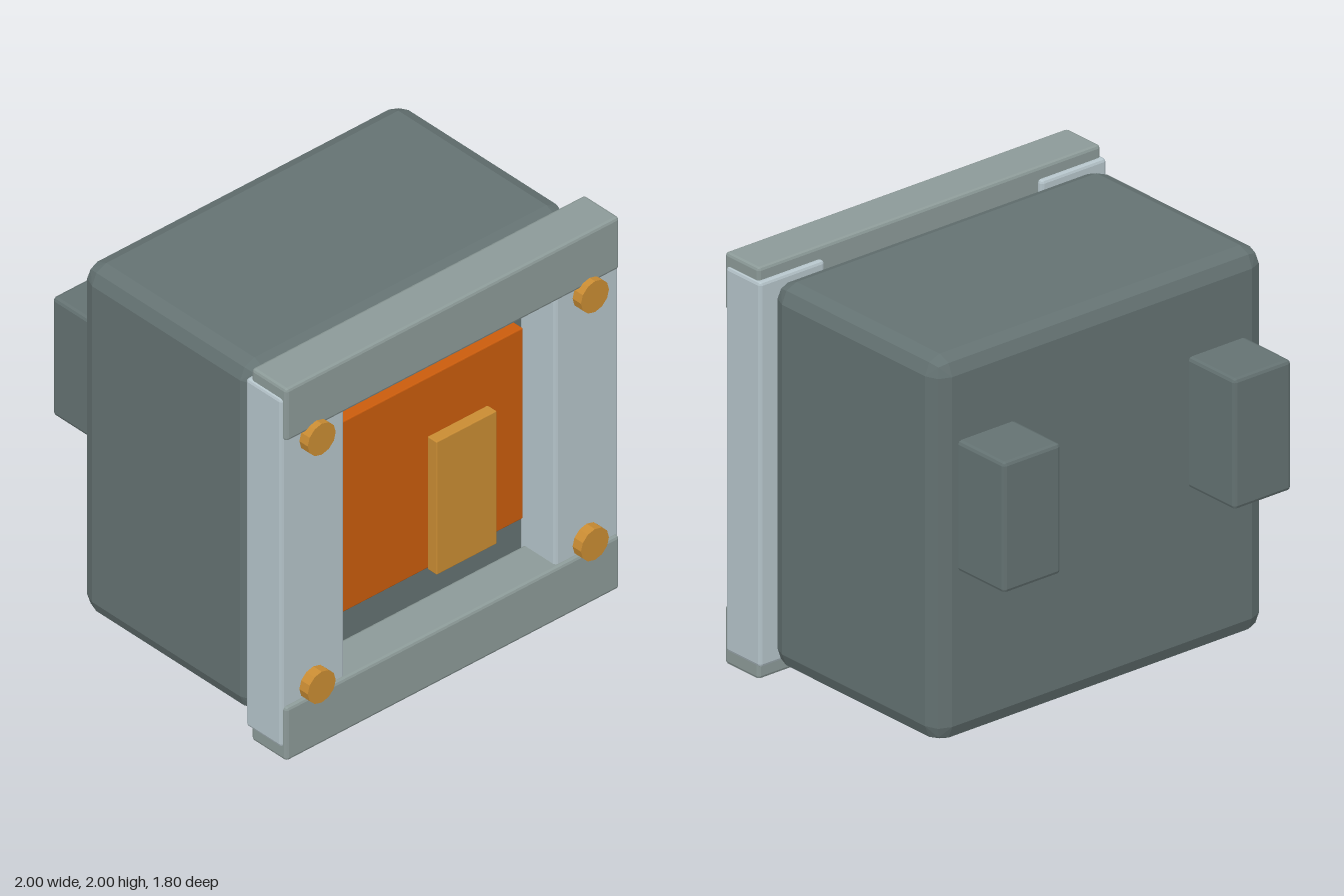
import * as THREE from 'three';
import { ConvexGeometry } from 'three/addons/geometries/ConvexGeometry.js';

const flat = (name, color) => {
  const m = new THREE.MeshStandardMaterial({ color });
  m.name = name;
  return m;
};

// Box with two-step bevelled edges, given by its minimum and maximum corners
function bevelBox(min, max, r) {
  const size = max.map((v, i) => v - min[i]);
  const steps = [[1, 0, 0], [0, 1, 0], [0, 0, 1], [1, 1, 0], [1, 0, 1], [0, 1, 1], [1, 1, 1]];
  const points = [];
  for (const sx of [-1, 1]) for (const sy of [-1, 1]) for (const sz of [-1, 1]) {
    for (const s of steps) {
      const d = new THREE.Vector3(...s).normalize().multiplyScalar(r);
      points.push(new THREE.Vector3(
        sx * (size[0] / 2 - r + d.x),
        sy * (size[1] / 2 - r + d.y),
        sz * (size[2] / 2 - r + d.z)));
    }
  }
  const g = new ConvexGeometry(points);
  g.translate(...min.map((v, i) => (v + max[i]) / 2));
  return g;
}

export function createModel() {
  const model = new THREE.Group();
  model.name = 'framedBox';

  const darkSteel = flat('darkSteel', 0x647272);
  const midSteel = flat('midSteel', 0x8c9a98);
  const paleSteel = flat('paleSteel', 0xb5c4ca);
  const orange = flat('orange', 0xca5c0c);
  const brass = flat('brass', 0xc98c33);

  const add = (name, geometry, material) => {
    const mesh = new THREE.Mesh(geometry, material);
    mesh.name = name;
    model.add(mesh);
    return mesh;
  };

  // Main housing
  add('body', bevelBox([-0.95, 0.07, -0.59], [0.95, 1.94, 0.55], 0.085), darkSteel);

  // Front panel and the plate standing before it
  add('frontPanel', bevelBox([-0.56, 0.495, 0.5], [0.56, 1.52, 0.65], 0.005), orange);
  add('centrePlate', bevelBox([-0.178, 0.67, 0.84], [0.178, 1.385, 0.9], 0.004), brass);

  // Frame rails across the top and bottom
  add('topRail', bevelBox([-0.988, 1.72, 0.58], [0.988, 2, 0.81], 0.015), midSteel);
  add('bottomRail', bevelBox([-0.988, 0, 0.58], [0.988, 0.285, 0.81], 0.015), midSteel);

  for (const side of [-1, 1]) {
    const label = side > 0 ? 'left' : 'right';
    const span = (a, b) => (side > 0 ? [a, b] : [-b, -a]);

    // Upright frame posts
    const [p0, p1] = span(0.625, 1);
    add(label + 'Post', bevelBox([p0, 0.07, 0.555], [p1, 1.94, 0.79], 0.015), paleSteel);

    // Blocks on the back
    const [b0, b1] = span(0.5, 0.83);
    add(label + 'BackBlock', bevelBox([b0, 0.9, -0.9], [b1, 1.535, -0.55], 0.018), darkSteel);

    // Corner bolts
    for (const [row, y] of [['Upper', 1.672], ['Lower', 0.338]]) {
      const g = new THREE.CylinderGeometry(0.083, 0.083, 0.1, 12).toNonIndexed();
      g.computeVertexNormals();
      g.rotateX(Math.PI / 2);
      add(label + row + 'Bolt', g, brass).position.set(side * 0.81, y, 0.795);
    }
  }
  return model;
}
